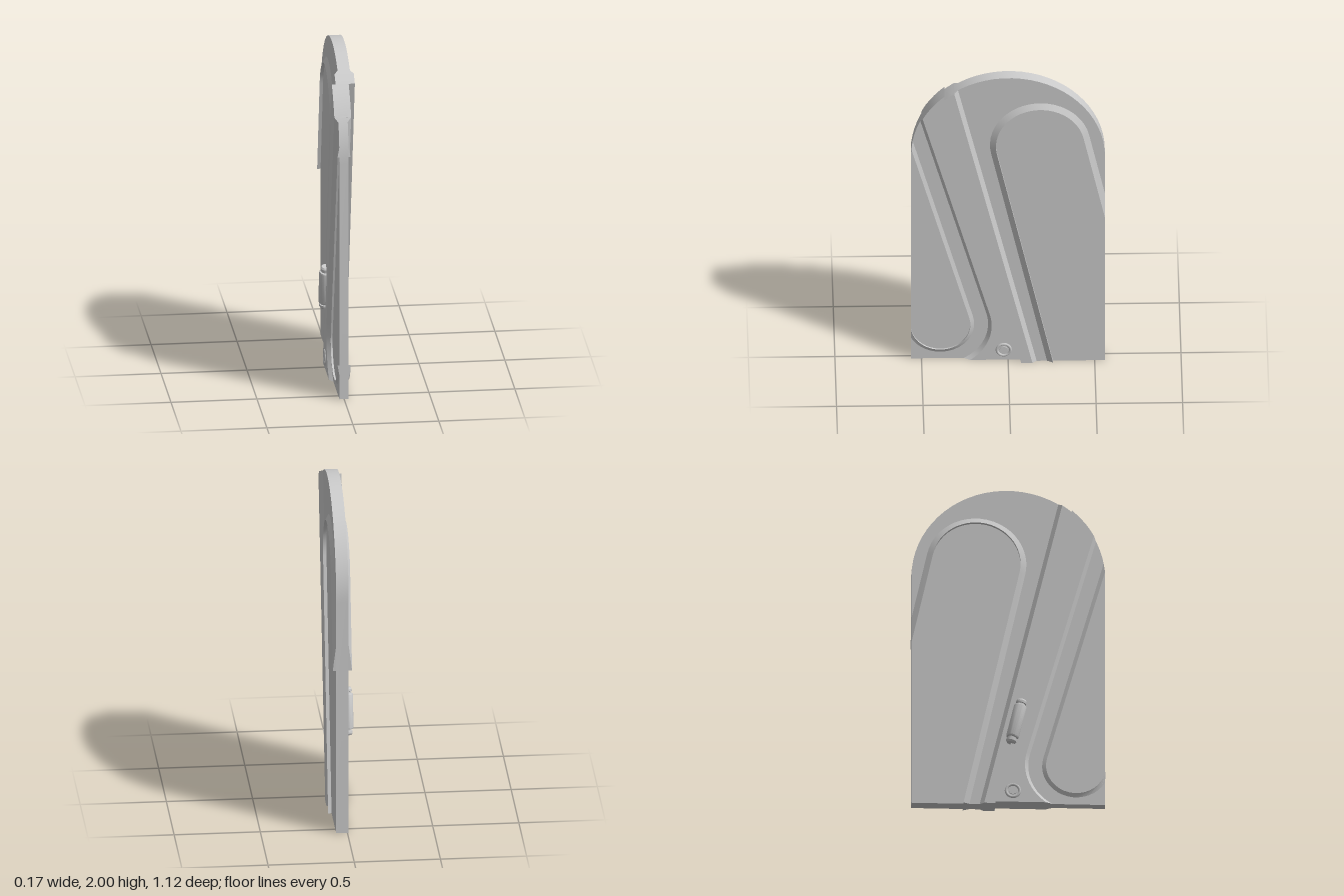
import * as THREE from 'three';
import { toCreasedNormals } from 'three/addons/utils/BufferGeometryUtils.js';

const R = 0.56, ARCH_Y = 1.44;      // door half width and arch centre height
const SEAM = 0.237;                 // lean of the seam (dz / dy)
const mat = new THREE.MeshStandardMaterial({ color: 0xcccccc });
const matThin = new THREE.MeshStandardMaterial({ color: 0xcccccc, side: THREE.DoubleSide });

// All 2D points are [z, y]
function arc(cz, cy, r, a0, a1, n) {
  const pts = [];
  for (let i = 0; i <= n; i++) {
    const a = a0 + (a1 - a0) * i / n;
    pts.push([cz + r * Math.cos(a), cy + r * Math.sin(a)]);
  }
  return pts;
}

// Where a line leaning by slope from point p meets the arch
function hitArch([z, y], slope) {
  const a = Math.atan(slope), dz = Math.sin(a), dy = Math.cos(a), h = y - ARCH_Y;
  const b = z * dz + h * dy, c = z * z + h * h - R * R;
  const t = -b + Math.sqrt(b * b - c);
  return [z + t * dz, y + t * dy];
}
const archAngle = ([z, y]) => Math.atan2(y - ARCH_Y, z);
const archArc = (a0, a1, n) => arc(0, ARCH_Y, R, a0, a1, n);

// Flat slab with a z-y outline, between two x positions
function slab(name, pts, x0, x1) {
  const shape = new THREE.Shape(pts.map(([z, y]) => new THREE.Vector2(z, y)));
  let geo = new THREE.ExtrudeGeometry(shape, { depth: x1 - x0, bevelEnabled: false });
  geo.rotateY(-Math.PI / 2);
  geo.translate(x1, 0, 0);
  geo = toCreasedNormals(geo, 0.4);
  const mesh = new THREE.Mesh(geo, mat);
  mesh.name = name;
  return mesh;
}

// Raised lip: slopes from the low path up to the high path, then drops straight back
function lip(name, low, high, xBase, xTop) {
  const pos = [];
  const at = (p, x) => [x, p[1], p[0]];
  const tri = (a, b, c) => pos.push(...a, ...b, ...c);
  const section = i => [at(low[i], xBase), at(high[i], xTop), at(high[i], xBase)];
  for (let i = 0; i < low.length - 1; i++) {
    const s = section(i), t = section(i + 1);
    for (let k = 0; k < 2; k++) {
      tri(s[k], t[k], t[k + 1]);
      tri(s[k], t[k + 1], s[k + 1]);
    }
  }
  tri(...section(0));
  tri(...section(low.length - 1).reverse());
  const geo = new THREE.BufferGeometry();
  geo.setAttribute('position', new THREE.Float32BufferAttribute(pos, 3));
  geo.computeVertexNormals();
  const mesh = new THREE.Mesh(toCreasedNormals(geo, 0.4), matThin);
  mesh.name = name;
  return mesh;
}

// Same lip on both faces of a leaf whose middle plane is at x = mid
function lipPair(name, low, high, mid, base, top) {
  const g = new THREE.Group();
  g.name = name;
  g.add(lip(name + 'Left', low, high, mid + base, mid + top));
  g.add(lip(name + 'Right', low, high, mid - base, mid - top));
  return g;
}

// Rear panel border: up from the floor, over the round top, down to the rear edge
function rearBorder(r) {
  const s = 0.22, a = Math.atan(s);
  const pts = arc(-0.185, 1.53, r, -a, Math.PI - a, 24);
  const p = pts[0], q = pts[pts.length - 1];
  return [[p[0] - p[1] * s, 0], ...pts, [-R, q[1] - (q[0] + R) / s]];
}

// Front border: down from the arch and round the bottom to the given end angle
function frontBorder(r, endAngle) {
  const s = 0.28;
  const pts = arc(0.39, 0.24, r, Math.PI - Math.atan(s), endAngle, 18);
  return [hitArch(pts[0], s), ...pts];
}

export function createModel() {
  const model = new THREE.Group();
  model.name = 'slidingDoor';
  const seamBottom = [-0.075, 0];
  const seamTop = hitArch(seamBottom, SEAM);
  const seamAngle = archAngle(seamTop);

  // Rear leaf
  const rear = new THREE.Group();
  rear.name = 'rearLeaf';
  const rearMid = 0.029;
  rear.add(slab('rearPlate',
    [seamBottom, ...archArc(seamAngle, Math.PI, 24), [-R, 0]], rearMid - 0.036, rearMid + 0.036));

  // Ridge along the seam of the rear leaf
  const ridgeHigh = [[-0.14, 0], hitArch([-0.14, 0], SEAM)];
  const ridgeLow = [[-0.165, 0], hitArch([-0.165, 0], SEAM)];
  rear.add(slab('rearSeamRidge',
    [seamBottom, ...archArc(seamAngle, archAngle(ridgeHigh[1]), 4), ridgeHigh[0]],
    rearMid - 0.056, rearMid + 0.056));
  rear.add(lipPair('rearRidgeBevel', ridgeLow, ridgeHigh, rearMid, 0.036, 0.056));
  rear.add(lipPair('rearPanelBorder', rearBorder(0.29), rearBorder(0.256), rearMid, 0.036, 0.056));
  model.add(rear);

  // Front leaf
  const front = new THREE.Group();
  front.name = 'frontLeaf';
  front.add(slab('frontPlate',
    [seamBottom, [R, 0], ...archArc(0, seamAngle, 10)], -0.027, 0.027));

  // Thick band between the seam and the front panel
  const toFloor = r => Math.PI + Math.asin(0.24 / r);
  const bandHigh = frontBorder(0.295, toFloor(0.295));
  const bandLow = frontBorder(0.275, toFloor(0.275));
  front.add(slab('frontSeamBand',
    [seamBottom, ...bandHigh.slice().reverse(),
      ...archArc(archAngle(bandHigh[0]), seamAngle, 5).slice(1)], -0.049, 0.049));
  front.add(lipPair('frontBandBevel', bandLow, bandHigh, 0, 0.027, 0.049));

  const toEdge = r => 2 * Math.PI - Math.acos(Math.min(1, (R - 0.39) / r));
  front.add(lipPair('frontPanelBorder',
    frontBorder(0.195, toEdge(0.195)), frontBorder(0.173, toEdge(0.173)), 0, 0.027, 0.038));
  model.add(front);

  // Round bolt near the floor, on both faces
  for (const side of [1, -1]) {
    const bolt = new THREE.Group();
    bolt.name = side > 0 ? 'boltLeft' : 'boltRight';
    const ring = new THREE.Mesh(new THREE.TorusGeometry(0.039, 0.009, 6, 20), mat);
    ring.name = 'boltRing';
    ring.rotation.y = Math.PI / 2;
    const head = new THREE.Mesh(new THREE.CylinderGeometry(0.024, 0.024, 0.012, 8), mat);
    head.name = 'boltHead';
    head.rotation.z = Math.PI / 2;
    bolt.add(ring, head);
    bolt.position.set(side * 0.048, 0.07, 0.025);
    model.add(bolt);
  }

  // Barrel shaped latch lying along the seam on the right face
  const half = [[0.037, 0.098], [0.034, 0.104], [0.025, 0.106], [0.025, 0.114],
    [0.031, 0.116], [0.031, 0.13], [0.024, 0.14], [0, 0.14]];
  const profile = [...half.map(([r, y]) => [r, -y]).reverse(), ...half]
    .map(([r, y]) => new THREE.Vector2(r, y));
  const latch = new THREE.Mesh(
    toCreasedNormals(new THREE.LatheGeometry(profile, 24), 0.5), mat);
  latch.name = 'latchBarrel';
  latch.position.set(-0.051, 0.51, 0.045);
  latch.rotation.x = Math.atan(SEAM);
  model.add(latch);

  return model;
}
